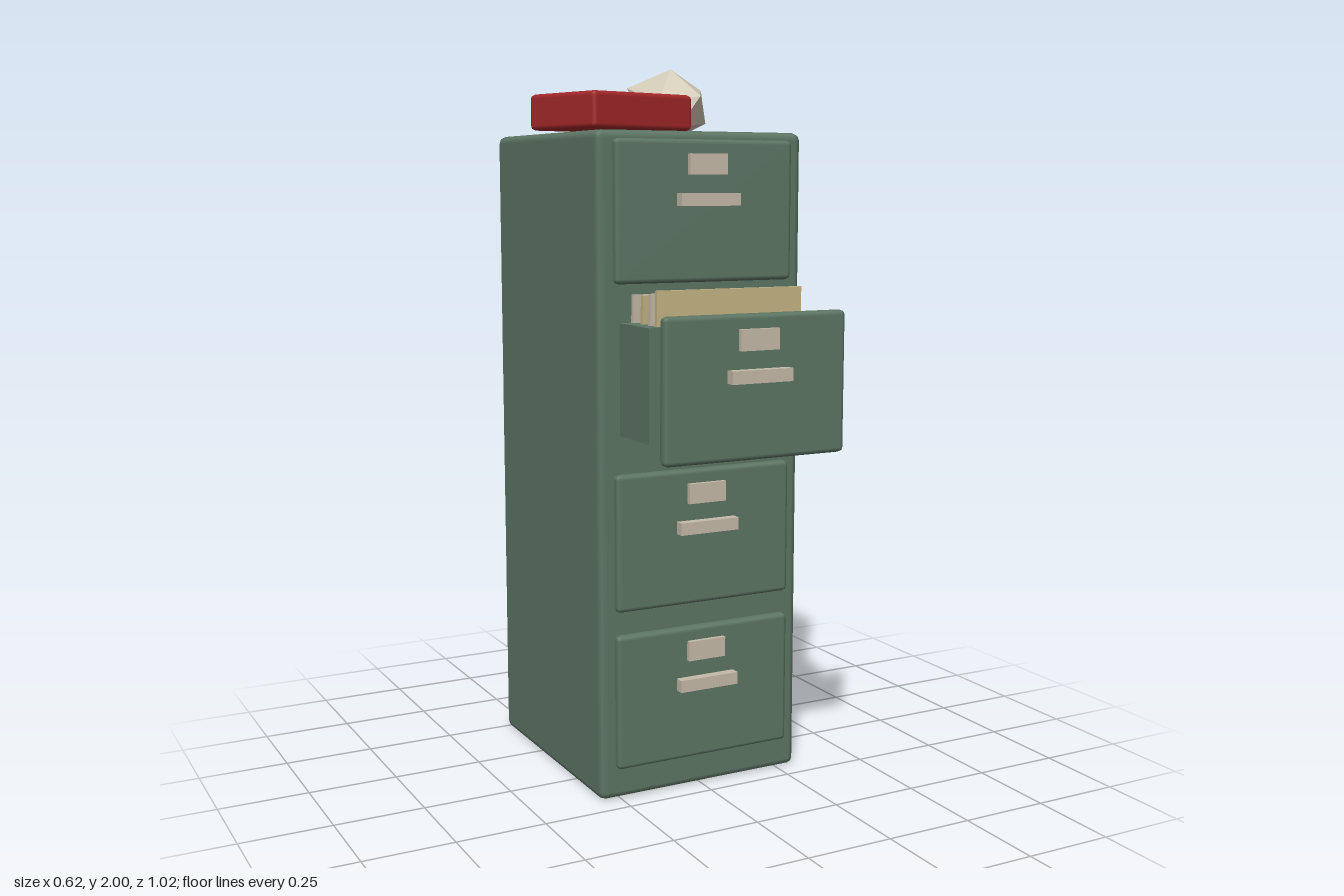
import * as THREE from 'three';
import { RoundedBoxGeometry } from 'three/addons/geometries/RoundedBoxGeometry.js';
import { ConvexGeometry } from 'three/addons/geometries/ConvexGeometry.js';

const material = (name, color) => {
  const m = new THREE.MeshStandardMaterial({ color });
  m.name = name;
  return m;
};

export function createModel() {
  const green = material('green enamel', 0x5d7665);
  const metal = material('pale metal', 0xc6bba8);
  const manila = material('manila card', 0xc7b684);
  const red = material('red cover', 0xa4282a);
  const paper = material('crumpled paper', 0xd0c8b5);

  const model = new THREE.Group();
  model.name = 'filingCabinet';

  const add = (parent, name, geometry, mat, x, y, z) => {
    const mesh = new THREE.Mesh(geometry, mat);
    mesh.name = name;
    mesh.position.set(x, y, z);
    parent.add(mesh);
    return mesh;
  };
  const box = (w, h, d) => new THREE.BoxGeometry(w, h, d);
  // Box with single chamfers along its edges
  const chamferBox = (w, h, d, r) => new RoundedBoxGeometry(w, h, d, 1, r);

  // Cabinet body
  add(model, 'cabinetBody', chamferBox(0.62, 1.81, 0.7, 0.021), green, 0, 0.905, -0.16);

  // Four drawers, the third from the floor pulled open
  const openIndex = 2;
  for (let i = 0; i < 4; i++) {
    const drawer = new THREE.Group();
    drawer.name = i === openIndex ? 'openDrawer' : 'drawer';
    drawer.position.set(0, 0.277 + i * 0.441, i === openIndex ? 0.467 : 0.195);
    add(drawer, 'drawerFront', chamferBox(0.534, 0.376, 0.034, 0.013), green, 0, 0, 0);
    add(drawer, 'labelPlate', box(0.113, 0.055, 0.018), metal, 0, 0.123, 0.021);
    add(drawer, 'handle', box(0.178, 0.034, 0.028), metal, 0, 0.031, 0.03);
    model.add(drawer);
  }

  // Tray behind the open drawer front
  add(model, 'drawerTray', box(0.496, 0.3, 0.3), green, 0, 1.16, 0.21);

  // Folders standing in the tray, each leaning slightly forward
  for (let i = 0; i < 4; i++) {
    const folder = add(model, 'folder', box(0.432, 0.28, 0.012),
      i % 2 ? metal : manila, 0, [1.262, 1.252, 1.246, 1.244][i], [0.335, 0.296, 0.25, 0.198][i]);
    folder.rotation.x = [0.02, 0.04, 0.06, 0.03][i];
  }

  // Red box file lying askew on top
  const file = add(model, 'redBoxFile', chamferBox(0.361, 0.1, 0.29, 0.013), red, -0.09, 1.871, -0.185);
  file.rotation.y = 0.25;

  // Faceted ball of paper: apex, two staggered rings and a base
  const ball = [
    [0.114, 2.0, -0.212],
    [0.14, 1.935, -0.315], [0.218, 1.943, -0.22], [0.15, 1.92, -0.097],
    [0.04, 1.9, -0.155], [0.011, 1.948, -0.29],
    [0.203, 1.848, -0.275], [0.195, 1.845, -0.15], [0.09, 1.832, -0.115],
    [0.035, 1.84, -0.22], [0.09, 1.842, -0.3], [0.145, 1.81, -0.21],
  ].map(p => new THREE.Vector3(...p));
  add(model, 'paperBall', new ConvexGeometry(ball), paper, 0, 0, 0);

  return model;
}
